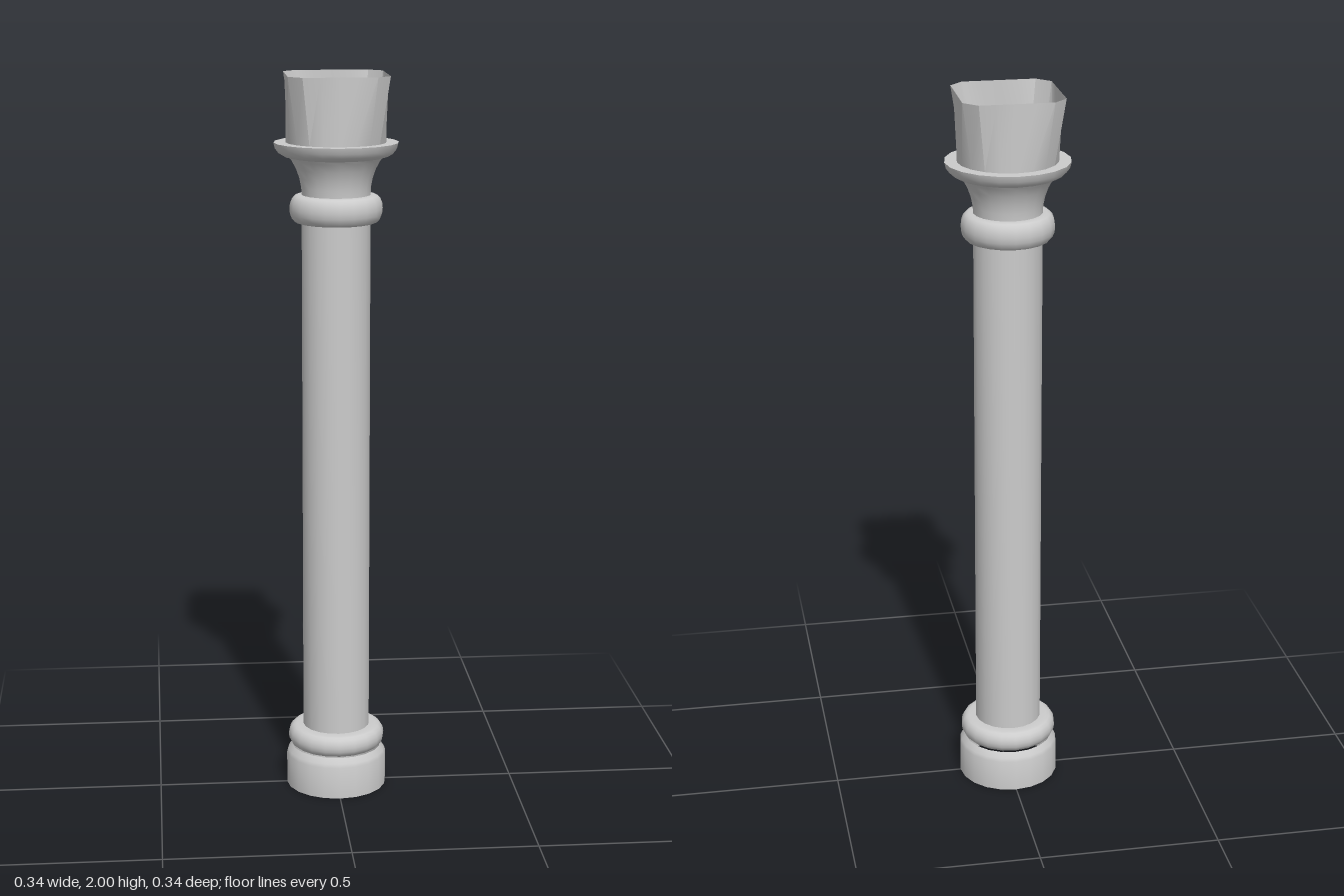
import * as THREE from 'three';
import { toCreasedNormals } from 'three/addons/utils/BufferGeometryUtils.js';

const SIDES = 20;

export function createModel() {
  const column = new THREE.Group();
  column.name = 'column';
  const material = new THREE.MeshStandardMaterial({ color: 0xcccccc, side: THREE.DoubleSide });

  const add = (name, geometry) => {
    const mesh = new THREE.Mesh(toCreasedNormals(geometry, 0.7), material);
    mesh.name = name;
    column.add(mesh);
  };
  // Open turned shell; profile runs upward as [radius, height]
  const turned = (name, profile) =>
    add(name, new THREE.LatheGeometry(profile.map(([r, y]) => new THREE.Vector2(r, y)), SIDES));

  // Rounded ring: flat shoulders out from the shaft, bulging between them
  const ring = (name, shaft, shoulder, bulge, y0, y1) => {
    const profile = [[shaft, y0]];
    for (let i = 0; i <= 8; i++) {
      const a = -Math.PI / 2 + (i / 8) * Math.PI;
      profile.push([shoulder + (bulge - shoulder) * Math.cos(a), (y0 + y1) / 2 + ((y1 - y0) / 2) * Math.sin(a)]);
    }
    profile.push([shaft, y1]);
    turned(name, profile);
  };

  turned('base', [[0.14, 0], [0.14, 0.09], [0.136, 0.1], [0.125, 0.115]]);
  ring('lowerRing', 0.093, 0.112, 0.135, 0.115, 0.175);
  turned('shaft', [[0.093, 0.175], [0.093, 1.605]]);
  ring('upperRing', 0.093, 0.104, 0.126, 1.605, 1.68);

  // Concave neck flaring into the flange
  turned('neck', [[0.093, 1.68], [0.094, 1.7], [0.099, 1.725], [0.108, 1.75], [0.12, 1.772], [0.126, 1.78]]);
  turned('flange', [[0.126, 1.78], [0.142, 1.784], [0.155, 1.792], [0.164, 1.804], [0.168, 1.82], [0.135, 1.82]]);

  // Capital: round at the foot, square with cut corners at the top
  const capital = new THREE.CylinderGeometry(0.168, 0.135, 0.18, SIDES, 1, true);
  const p = capital.attributes.position;
  for (let i = 0; i < p.count; i++) {
    if (p.getY(i) > 0) {
      p.setX(i, THREE.MathUtils.clamp(p.getX(i), -0.135, 0.135));
      p.setZ(i, THREE.MathUtils.clamp(p.getZ(i), -0.135, 0.135));
    }
  }
  capital.translate(0, 1.91, 0);
  add('capital', capital);

  return column;
}
